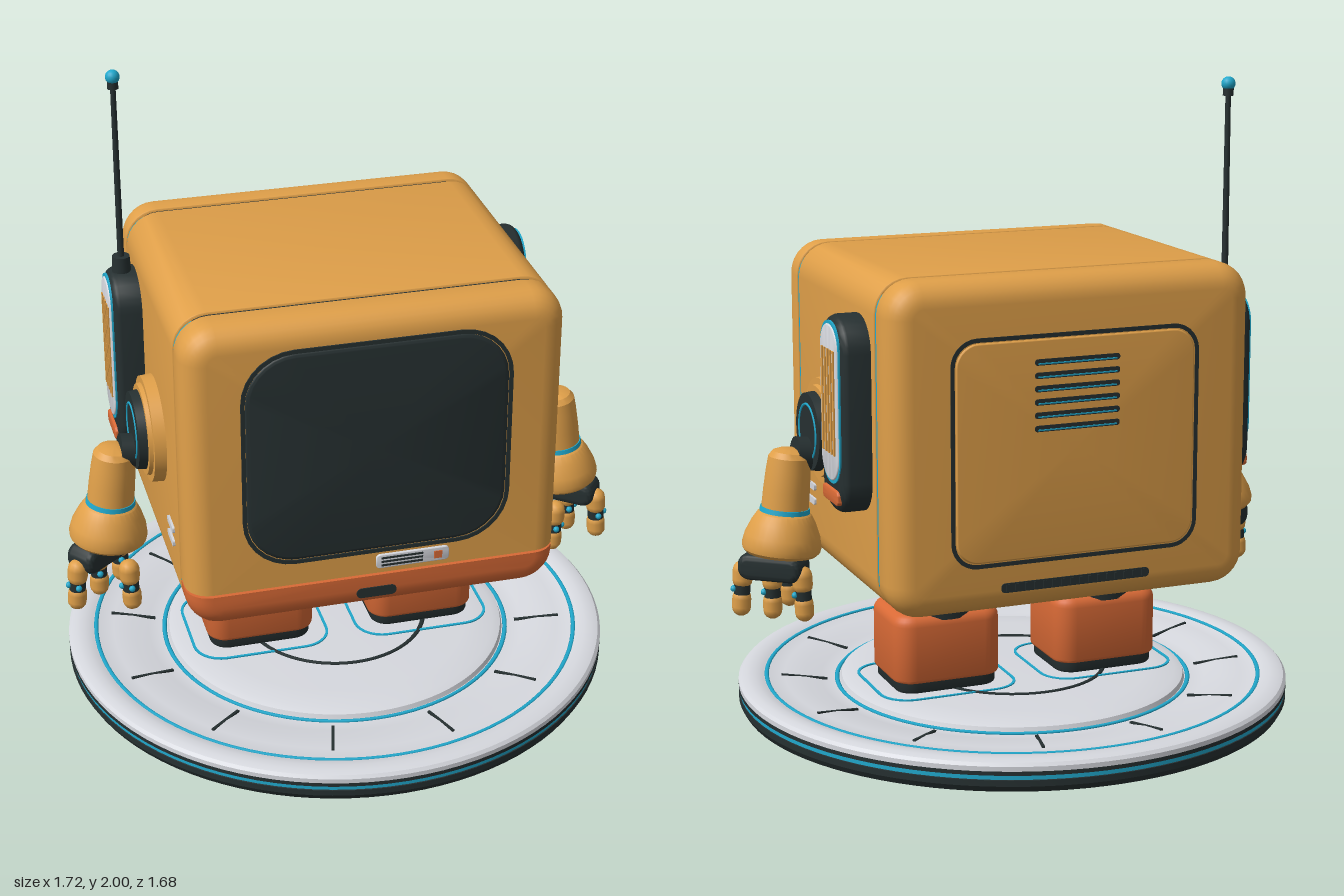
import * as THREE from 'three';
import { toCreasedNormals } from 'three/addons/utils/BufferGeometryUtils.js';

const material = (name, color) => Object.assign(new THREE.MeshStandardMaterial({ color }), { name });

// Corner points of a rounded rectangle, counter-clockwise
function ring(w, h, r, n = 7) {
  const pts = [];
  for (let c = 0; c < 4; c++) {
    const cx = (c === 0 || c === 3 ? 1 : -1) * (w / 2 - r), cy = (c < 2 ? 1 : -1) * (h / 2 - r);
    for (let i = 0; i <= n; i++) {
      const a = (c + i / n) * Math.PI / 2;
      pts.push([cx + r * Math.cos(a), cy + r * Math.sin(a)]);
    }
  }
  return pts;
}

// Rounded slab from z0 to z1 with rounded rims b0 (back) and b1 (front); y may be clamped
function slab(w, h, r, z0, z1, b0 = 0, b1 = 0, yMin = -9, yMax = 9) {
  const sections = [], steps = 6;
  for (let i = b0 ? 0 : steps; i <= steps; i++) {
    const a = i / steps * Math.PI / 2;
    sections.push([z0 + b0 * (1 - Math.sin(a)), b0 * (1 - Math.cos(a))].map((v, k) => k ? b0 * (1 - Math.sin(a)) : z0 + b0 * (1 - Math.cos(a))));
  }
  for (let i = 0; i <= (b1 ? steps : 0); i++) {
    const a = i / steps * Math.PI / 2;
    sections.push([z1 - b1 * (1 - Math.sin(a)), b1 * (1 - Math.cos(a))]);
  }
  const pos = [], idx = [], add = (x, y, z) => pos.push(x, Math.min(yMax, Math.max(yMin, y)), z);
  let n = 0;
  for (const [z, d] of sections) {
    const pts = ring(w - 2 * d, h - 2 * d, Math.max(r - d, 0.002));
    n = pts.length;
    pts.forEach(([x, y]) => add(x, y, z));
  }
  const last = (sections.length - 1) * n, c0 = last + n;
  add(0, 0, z0);
  add(0, 0, z1);
  for (let j = 0; j < n; j++) {
    const k = (j + 1) % n;
    for (let s = 0; s < last; s += n) idx.push(s + j, s + k, s + n + k, s + j, s + n + k, s + n + j);
    idx.push(c0, k, j, c0 + 1, last + j, last + k);
  }
  const g = new THREE.BufferGeometry();
  g.setAttribute('position', new THREE.Float32BufferAttribute(pos, 3));
  g.setIndex(idx);
  return toCreasedNormals(g, 0.6);
}

// Thin rounded outline lying in the xy plane
function outline(w, h, r, t, depth = 0.004) {
  const loop = (a, b, c) => ring(a, b, c).map(p => new THREE.Vector2(...p));
  const shape = new THREE.Shape(loop(w, h, r));
  shape.holes.push(new THREE.Path(loop(w - 2 * t, h - 2 * t, r - t)));
  return new THREE.ExtrudeGeometry(shape, { depth, bevelEnabled: false });
}

const lathe = (pts, seg = 96) =>
  toCreasedNormals(new THREE.LatheGeometry(pts.map(p => new THREE.Vector2(...p)), seg), 0.5);

export function createModel() {
  const tan = material('amber shell', 0xdf9f49), orange = material('burnt orange', 0xd96a36);
  const dark = material('charcoal', 0x263031), cyan = material('cyan trim', 0x20a8cc);
  const white = material('pale grey', 0xd6d8de);
  const model = new THREE.Group();
  model.name = 'robotOnPlatform';
  const group = (name, parent = model) => {
    const g = new THREE.Group();
    g.name = name;
    parent.add(g);
    return g;
  };
  const put = (parent, name, geo, mat, x = 0, y = 0, z = 0) => {
    const m = new THREE.Mesh(geo, mat);
    m.name = name;
    m.position.set(x, y, z);
    parent.add(m);
    return m;
  };
  const box = (w, h, d) => new THREE.BoxGeometry(w, h, d);
  const cyl = (r1, r2, h, n = 32) => new THREE.CylinderGeometry(r1, r2, h, n);

  // Platform
  const base = group('platform');
  put(base, 'lowerHull', lathe([[0, 0.006], [0.26, 0.006], [0.4, 0.016], [0.49, 0.032], [0.54, 0.06],
    [0.59, 0.087], [0.66, 0.095], [0.8, 0.1], [0.83, 0.112], [0.84, 0.13], [0.84, 0.148], [0.832, 0.15],
    [0.832, 0.16], [0.84, 0.162], [0.84, 0.174], [0.82, 0.176]]), dark);
  put(base, 'edgeStripe', cyl(0.837, 0.837, 0.012, 96), cyan, 0, 0.155);
  put(base, 'deck', lathe([[0.84, 0.174], [0.84, 0.188], [0.832, 0.197], [0.815, 0.202], [0.79, 0.202], [0.765, 0.197],
    [0.755, 0.192], [0.7, 0.192], [0.64, 0.187], [0.59, 0.176], [0.55, 0.17], [0.53, 0.172], [0.525, 0.186], [0.5, 0.194],
    [0.42, 0.198], [0, 0.199]]), white);
  for (const [r, y] of [[0.755, 0.194], [0.54, 0.173], [0.28, 0.199]]) {
    const t = put(base, 'deckRing', new THREE.TorusGeometry(r, 0.007, 6, 96), r < 0.3 ? dark : cyan, 0, y);
    t.rotation.x = Math.PI / 2;
    t.scale.z = 0.6;
  }
  for (let i = 0; i < 12; i++) {
    const spoke = group('deckSeam', base);
    spoke.rotation.y = (i + 0.5) * Math.PI / 6;
    const seam = put(spoke, 'seamLine', box(0.14, 0.008, 0.009), dark, 0.64, 0.184);
    seam.rotation.z = 0.13;
  }
  put(base, 'undersideLight', cyl(0.285, 0.285, 0.006, 64), cyan, 0, 0.003);
  put(base, 'undersideRing', new THREE.TorusGeometry(0.322, 0.006, 6, 64), cyan, 0, 0.01).rotation.x = Math.PI / 2;

  // Body: three rounded shells around a recessed core
  const body = group('body');
  const cy = 1.01;
  put(body, 'middleShell', slab(1.11, 0.96, 0.1, -0.352, 0.352, 0.005, 0.005), tan, 0, cy);
  put(body, 'backShell', slab(1.11, 0.96, 0.1, -0.485, -0.368, 0.07, 0.005), tan, 0, cy);
  put(body, 'frontShell', slab(1.11, 0.96, 0.1, 0.368, 0.487, 0.005, 0.07, -0.357), tan, 0, cy);
  put(body, 'chin', slab(1.11, 0.96, 0.1, 0.368, 0.487, 0.005, 0.07, -9, -0.365), orange, 0, cy);
  put(body, 'core', slab(1.085, 0.945, 0.09, -0.4, 0.4), dark, 0, cy);
  for (const z of [-0.36, 0.36])
    put(body, 'seamLight', slab(1.102, 0.935, 0.09, -0.012, 0.012), cyan, 0, cy, z);

  // Face
  put(body, 'screenRim', outline(0.79, 0.69, 0.155, 0.012, 0.012), dark, 0, 1.07, 0.479);
  put(body, 'screen', slab(0.77, 0.67, 0.148, 0.47, 0.493, 0, 0.015), dark, 0, 1.07);
  put(body, 'labelPlate', slab(0.22, 0.046, 0.012, 0.48, 0.494, 0, 0.003), white, 0.107, 0.693);
  for (let i = -1; i <= 1; i++) put(body, 'labelLine', box(0.125, 0.006, 0.004), dark, 0.075, 0.693 + i * 0.012, 0.494);
  put(body, 'labelButton', box(0.024, 0.024, 0.006), orange, 0.183, 0.693, 0.494);
  put(body, 'chinSlot', slab(0.12, 0.032, 0.015, 0.47, 0.49), dark, 0, 0.59);

  // Rear hatch
  const rear = group('rearHatch');
  rear.rotation.y = Math.PI;
  put(rear, 'hatchSeam', outline(0.76, 0.66, 0.08, 0.012), dark, 0, 1, 0.483);
  put(rear, 'hatchPanel', slab(0.73, 0.63, 0.068, 0.47, 0.49, 0, 0.005), tan, 0, 1);
  for (let i = 0; i < 6; i++) {
    put(rear, 'ventSlot', slab(0.26, 0.018, 0.008, 0.48, 0.492), dark, 0, 1.06 + i * 0.038);
    put(rear, 'ventGlow', box(0.24, 0.004, 0.004), cyan, 0, 1.056 + i * 0.038, 0.492);
  }
  put(rear, 'exhaustSlot', slab(0.46, 0.028, 0.012, 0.47, 0.488), dark, 0, 0.605);
  for (let i = 0; i < 16; i++) put(rear, 'exhaustRib', box(0.01, 0.02, 0.006), dark, -0.21 + i * 0.028, 0.605, 0.488);

  for (const s of [1, -1]) {
    const side = s > 0 ? 'left' : 'right';

    // Side fittings, drawn facing +z and turned outward
    const fit = group(side + 'SideFittings');
    fit.rotation.y = s * Math.PI / 2;
    const pz = s * 0.22, az = -s * 0.05;
    put(fit, 'podHousing', slab(0.21, 0.57, 0.1, 0.54, 0.64, 0, 0.03), dark, pz, 1.09);
    put(fit, 'podTrim', slab(0.168, 0.468, 0.08, 0.62, 0.643), cyan, pz, 1.125);
    put(fit, 'podGrille', slab(0.15, 0.45, 0.072, 0.63, 0.647, 0, 0.004), white, pz, 1.125);
    for (let i = -2; i <= 2; i++) put(fit, 'grilleBar', box(0.011, 0.3, 0.008), tan, pz + i * 0.025, 1.13, 0.647);
    put(fit, 'podMarker', slab(0.14, 0.042, 0.016, 0.62, 0.648, 0, 0.004), orange, pz, 0.857);
    const disc = (name, r, z0, z1, mat) =>
      put(fit, name, cyl(r, r + 0.005, z1 - z0, 48), mat, az, 0.98, (z0 + z1) / 2).rotation.x = Math.PI / 2;
    disc('shoulderPlate', 0.157, 0.54, 0.59, tan);
    disc('shoulderStep', 0.135, 0.58, 0.602, tan);
    disc('shoulderJoint', 0.115, 0.59, 0.628, dark);
    put(fit, 'shoulderRing', new THREE.TorusGeometry(0.082, 0.004, 6, 48), cyan, az, 0.98, 0.628);
    for (const y of [0.765, 0.72]) put(fit, 'sideVent', slab(0.08, 0.02, 0.006, 0.54, 0.562), white, -s * 0.25, y);

    // Arm with flared cuff
    const arm = group(side + 'Arm');
    arm.position.set(s * 0.683, 0.93, 0.05);
    arm.rotation.z = s * 0.11;
    put(arm, 'forearm', lathe([[0.07, -0.172], [0.069, -0.12], [0.066, -0.06], [0.062, -0.02], [0.05, -0.004], [0.03, 0.004],
      [0, 0.006]], 32), tan);
    put(arm, 'wristBand', cyl(0.073, 0.075, 0.014), cyan, 0, -0.178);
    put(arm, 'cuff', lathe([[0, -0.31], [0.105, -0.31], [0.115, -0.3], [0.118, -0.285], [0.112, -0.255], [0.095, -0.215],
      [0.08, -0.19], [0.07, -0.184]], 32), tan);
    put(arm, 'elbow', cyl(0.05, 0.05, 0.06), dark, -s * 0.045, -0.01).rotation.z = Math.PI / 2;

    // Hand
    const hand = group(side + 'Hand');
    const palm = put(hand, 'palm', slab(0.2, 0.08, 0.035, -0.05, 0.05, 0.02, 0.02), dark, s * 0.742, 0.585, 0.045);
    palm.rotation.y = -s * 0.68;
    [[0.675, -0.02], [0.748, 0.042], [0.82, 0.105], [0.672, 0.145]].forEach(([x, z], i) => {
      const finger = group(i < 3 ? 'finger' : 'thumb', hand);
      finger.position.set(s * x, 0.56, z);
      finger.rotation.z = s * (x - 0.74) * 0.8;
      put(finger, 'knuckle', new THREE.CapsuleGeometry(0.031, 0.025, 4, 12), tan, 0, -0.01);
      put(finger, 'fingerJoint', cyl(0.025, 0.025, 0.04, 12), dark, 0, -0.06);
      put(finger, 'fingertip', new THREE.CapsuleGeometry(0.029, 0.025, 4, 12), tan, 0, -0.095);
      for (const [dx, dz] of [[0, 0.026], [s * 0.026, 0]])
        put(finger, 'jointStud', new THREE.SphereGeometry(0.01, 8, 6), cyan, dx, -0.052, dz);
    });

    // Leg
    const leg = group(side + 'Leg');
    leg.position.set(s * 0.258, 0, -0.02);
    const flat = (name, geo, mat, y = 0) => put(leg, name, geo, mat, 0, y).rotation.x = -Math.PI / 2;
    put(leg, 'ankle', cyl(0.137, 0.137, 0.14), dark, 0, 0.49);
    for (let i = 0; i < 4; i++) flat('ankleRib', new THREE.TorusGeometry(0.135, 0.012, 8, 40), dark, 0.45 + i * 0.024);
    flat('boot', slab(0.335, 0.275, 0.06, 0.23, 0.44, 0.01, 0.035), orange);
    flat('sole', slab(0.315, 0.26, 0.055, 0.198, 0.24, 0.008, 0), dark);
    flat('footprintLine', outline(0.43, 0.37, 0.09, 0.008), cyan, 0.198);
    put(leg, 'bootBadge', slab(0.145, 0.065, 0.01, 0.13, 0.145, 0, 0.003), cyan, 0, 0.36);
    put(leg, 'badgeSlot', slab(0.085, 0.018, 0.008, 0.14, 0.148), dark, 0, 0.36);
  }

  // Antenna
  const antenna = group('antenna');
  antenna.position.set(-0.595, 0, -0.22);
  put(antenna, 'antennaBase', cyl(0.026, 0.03, 0.07, 20), dark, 0, 1.385);
  put(antenna, 'antennaRod', cyl(0.008, 0.01, 0.56, 12), dark, 0, 1.68);
  put(antenna, 'antennaCollar', cyl(0.016, 0.016, 0.022, 16), dark, 0, 1.955);
  put(antenna, 'antennaTip', new THREE.SphereGeometry(0.021, 16, 12), cyan, 0, 1.979);
  return model;
}
